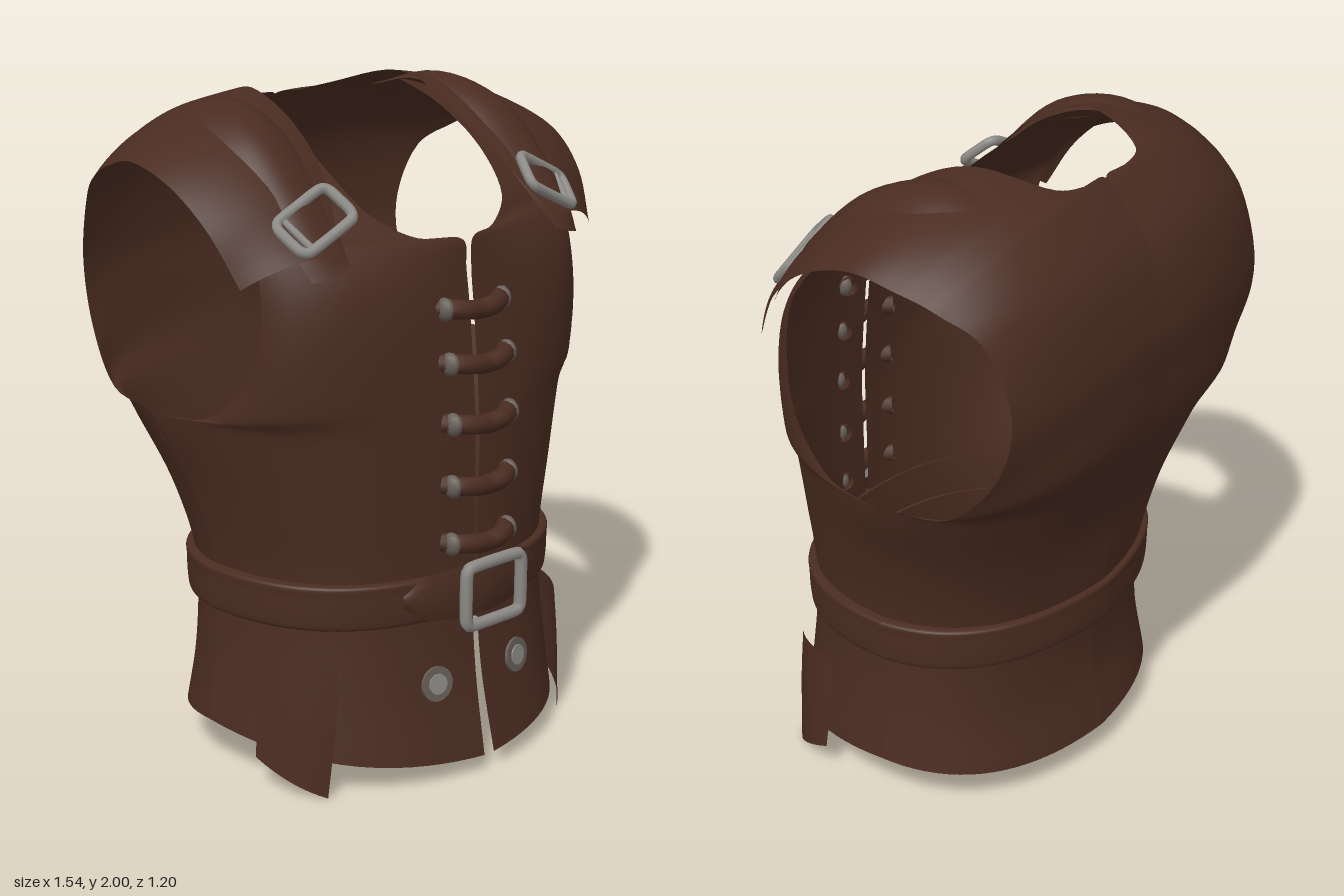
import * as THREE from 'three';

const leather = new THREE.MeshStandardMaterial({ color: 0x4a2c21, side: THREE.DoubleSide });
leather.name = 'brown leather';
const metal = new THREE.MeshStandardMaterial({ color: 0x8c8a86 });
metal.name = 'grey metal';
const darkMetal = new THREE.MeshStandardMaterial({ color: 0x665e58 });
darkMetal.name = 'dull metal';

const V = (p) => new THREE.Vector3(...p);

// Sheet lofted through rows of [start, control, end]; side = -1 mirrors it in x
function loft(rows, side = 1, nT = 48, nU = 20) {
  const rails = [0, 1, 2].map((k) => new THREE.CatmullRomCurve3(rows.map((r) => V(r[k]))));
  const pos = [], index = [];
  for (let i = 0; i <= nT; i++) {
    const section = new THREE.QuadraticBezierCurve3(...rails.map((c) => c.getPoint(i / nT)));
    for (let j = 0; j <= nU; j++) {
      const p = section.getPoint(j / nU);
      pos.push(p.x * side, p.y, p.z);
      if (i < nT && j < nU) {
        const a = i * (nU + 1) + j, b = a + 1, c = a + nU + 1, d = c + 1;
        if (side > 0) index.push(a, b, c, b, d, c);
        else index.push(a, c, b, b, c, d);
      }
    }
  }
  const g = new THREE.BufferGeometry();
  g.setAttribute('position', new THREE.Float32BufferAttribute(pos, 3));
  g.setIndex(index);
  g.computeVertexNormals();
  return g;
}

// Front panel: from the front opening and neckline out to the side seam and armhole
const frontRows = [
  [[.02, .05, .57], [.575, .09, .535], [.60, .15, -.02]],
  [[.012, .30, .52], [.565, .30, .51], [.575, .30, -.02]],
  [[.009, .50, .50], [.55, .50, .49], [.56, .50, -.02]],
  [[.008, .63, .50], [.55, .63, .49], [.56, .63, -.02]],
  [[.008, .85, .50], [.60, .85, .50], [.61, .85, -.05]],
  [[.008, 1.05, .50], [.65, 1.07, .51], [.70, 1.09, -.11]],
  [[.008, 1.20, .49], [.63, 1.16, .51], [.67, 1.12, .08]],
  [[.008, 1.40, .47], [.56, 1.35, .50], [.63, 1.26, .235]],
  [[.01, 1.52, .455], [.52, 1.51, .46], [.615, 1.46, .27]],
  [[.018, 1.60, .45], [.50, 1.60, .375], [.62, 1.61, .24]],
  [[.15, 1.615, .40], [.46, 1.65, .315], [.63, 1.67, .20]],
  [[.26, 1.68, .33], [.47, 1.72, .25], [.63, 1.72, .16]],
  [[.305, 1.80, .19], [.48, 1.79, .16], [.635, 1.77, .10]],
  [[.30, 1.91, .02], [.48, 1.88, .03], [.64, 1.81, .02]],
  [[.295, 1.97, -.15], [.48, 1.93, -.14], [.65, 1.84, -.12]],
];

// Back panel: runs up the back, over the shoulder, and ends as a cap on the chest
const lowerBackRows = [
  [[0, .10, -.43], [.55, .11, -.40], [.60, .15, -.02]],
  [[0, .30, -.39], [.53, .30, -.365], [.575, .30, -.02]],
  [[0, .50, -.395], [.51, .50, -.365], [.56, .50, -.02]],
  [[0, .63, -.42], [.515, .63, -.385], [.56, .63, -.02]],
  [[0, .85, -.455], [.575, .85, -.45], [.61, .85, -.05]],
  [[0, 1.05, -.52], [.67, 1.07, -.535], [.70, 1.09, -.11]],
  [[0, 1.22, -.57], [.58, 1.19, -.60], [.675, 1.13, -.34]],
  [[0, 1.37, -.592], [.46, 1.36, -.605], [.645, 1.28, -.48]],
];
const upperBackRows = [
  [[0, 1.52, -.60], [.40, 1.52, -.61], [.64, 1.48, -.525]],
  [[0, 1.75, -.54], [.45, 1.78, -.57], [.67, 1.69, -.45]],
  [[0, 1.925, -.39], [.45, 1.94, -.46], [.715, 1.76, -.35]],
  [[.10, 1.93, -.385], [.47, 1.955, -.40], [.73, 1.785, -.30]],
  [[.20, 1.945, -.36], [.50, 1.97, -.32], [.75, 1.81, -.23]],
  [[.29, 1.995, -.15], [.55, 1.96, -.13], [.77, 1.84, -.10]],
  [[.305, 1.93, .03], [.55, 1.92, .06], [.765, 1.79, .07]],
  [[.33, 1.80, .20], [.56, 1.815, .23], [.74, 1.68, .20]],
  [[.43, 1.60, .39], [.57, 1.62, .375], [.70, 1.53, .285]],
];
const backRows = [...lowerBackRows, ...upperBackRows];

// Raised strap lying over the shoulder cap
const strapRows = [
  [[.34, 1.93, -.32], [.43, 1.95, -.34], [.53, 1.89, -.30]],
  [[.35, 1.965, -.13], [.43, 2.015, -.13], [.55, 1.935, -.12]],
  [[.35, 1.90, .06], [.46, 1.96, .10], [.56, 1.875, .075]],
  [[.36, 1.77, .22], [.48, 1.805, .265], [.56, 1.735, .235]],
  [[.39, 1.65, .335], [.48, 1.66, .37], [.55, 1.61, .335]],
  [[.41, 1.57, .41], [.47, 1.55, .42], [.53, 1.54, .385]],
];

// Loose tab hanging at the hip
const tabRows = [
  [[.455, .39, .40], [.55, .41, .33], [.565, .41, .19]],
  [[.465, .25, .405], [.57, .25, .33], [.58, .26, .19]],
  [[.49, 0, .395], [.58, .04, .33], [.60, .10, .20]],
];

// Quarter of the belt, front (dir = 1) or back (dir = -1)
function beltRows(dir) {
  const profile = [[.495, 0], [.5, .018], [.53, .024], [.6, .026], [.63, .026], [.636, 0]];
  return profile.map(([y, o]) => {
    const x = .56 + o, z = dir > 0 ? .49 + o : -.41 - o;
    const corner = dir > 0 ? [x - .005, y, z - .005] : [x - .045, y, z + .035];
    return [[0, y, z], corner, [x, y, -.02]];
  });
}

// Pointed patch behind the belt buckle
const patchRows = [[-.27, .02, .482], [-.2, .065, .512], [-.1, .08, .535], [0, .08, .548],
  [.1, .08, .535], [.2, .065, .512], [.27, .02, .482]]
  .map(([x, h, z]) => [[x, .575 - h, z - .01], [x, .575, z + .012], [x, .575 + h, z - .01]]);

// Closed rectangular wire frame with soft corners
function frame(w, h, r) {
  const a = w / 2, b = h / 2, c = .022;
  const pts = [[a - c, b], [a, b - c], [a, -b + c], [a - c, -b], [-a + c, -b], [-a, -b + c], [-a, b - c], [-a + c, b]]
    .map(([x, y]) => V([x, y, 0]));
  return new THREE.TubeGeometry(new THREE.CatmullRomCurve3(pts, true, 'catmullrom', .25), 64, r, 8, true);
}

export function createModel() {
  const model = new THREE.Group();
  const add = (name, geometry, material, parent = model) => {
    const m = new THREE.Mesh(geometry, material);
    m.name = name;
    parent.add(m);
    return m;
  };

  for (const s of [1, -1]) {
    const label = s > 0 ? 'left' : 'right';
    add(label + 'FrontPanel', loft(frontRows, s, 84), leather);
    add(label + 'BackPanel', loft(backRows, s, 96), leather);
    add(label + 'ShoulderStrap', loft(strapRows, s, 30, 10), leather);
    add(label + 'HipTab', loft(tabRows, s, 10, 8), leather);
    add(label + 'BeltFront', loft(beltRows(1), s, 20, 24), leather);
    add(label + 'BeltBack', loft(beltRows(-1), s, 20, 24), leather);

    // Shoulder buckle with a side bar
    const buckle = new THREE.Group();
    buckle.name = label + 'ShoulderBuckle';
    buckle.position.set(.463 * s, 1.695, .32);
    buckle.rotation.set(-.82, 0, -.44 * s, 'ZXY');
    add('buckleFrame', frame(.205, .125, .016), metal, buckle);
    add('buckleBar', new THREE.CylinderGeometry(.011, .011, .12, 8), metal, buckle).position.x = .07 * s;
    model.add(buckle);

    // Rivet on the skirt
    const rivet = new THREE.Group();
    rivet.name = label + 'Rivet';
    rivet.position.set(.167 * s, .305, .514);
    rivet.rotation.set(-.12, .17 * s, 0);
    add('rivetRim', new THREE.CylinderGeometry(.053, .053, .009, 24).rotateX(Math.PI / 2), darkMetal, rivet);
    add('rivetHead', new THREE.CylinderGeometry(.031, .032, .009, 20).rotateX(Math.PI / 2), metal, rivet)
      .position.z = .004;
    model.add(rivet);
  }

  // Belt patch and buckle
  add('beltPatch', loft(patchRows, 1, 32, 8), leather);
  add('beltBuckle', frame(.225, .18, .019), metal).position.set(-.005, .578, .581);

  // Lacing across the front opening, with a metal tip at each end
  [[1.415, .46], [1.26, .485], [1.085, .50], [.90, .50], [.725, .50]].forEach(([y, z], i) => {
    const path = [[-.125, y + .004, z - .015], [-.1, y + .002, z + .022], [-.05, y - .004, z + .045], [0, y - .01, z + .042],
      [.05, y - .004, z + .045], [.1, y + .002, z + .022], [.125, y + .004, z - .015]].map(V);
    add('lace' + (i + 1), new THREE.TubeGeometry(new THREE.CatmullRomCurve3(path), 28, .029, 10), leather);
    for (const s of [1, -1]) {
      const tip = add('laceTip', new THREE.SphereGeometry(.033, 12, 8), darkMetal);
      tip.position.set(.115 * s, y + .002, z + .016);
      tip.scale.set(.7, 1.05, 1);
    }
  });

  return model;
}
